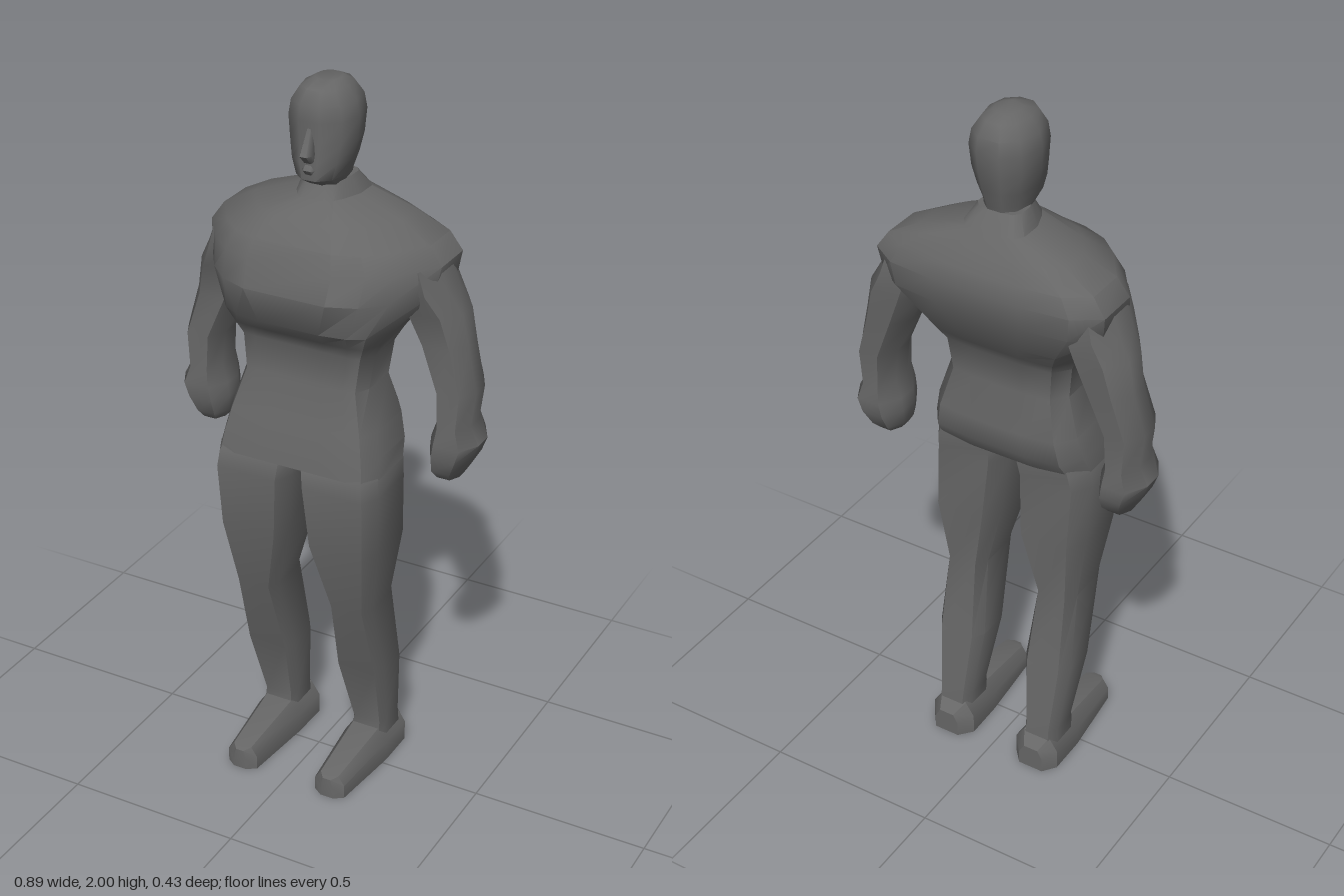
import * as THREE from 'three';
import { toCreasedNormals } from 'three/addons/utils/BufferGeometryUtils.js';

const darkGrey = new THREE.MeshStandardMaterial({ color: 0x666666 });

// Skin a stack of equal-length rings of [x, y, z] and cap both ends
function loft(name, rings, crease = 0.62) {
  const n = rings[0].length;
  const index = [];
  for (let i = 0; i < rings.length - 1; i++) {
    for (let j = 0; j < n; j++) {
      const k = (j + 1) % n;
      const a = i * n + j, b = i * n + k, c = (i + 1) * n + k, d = (i + 1) * n + j;
      index.push(a, b, c, a, c, d);
    }
  }
  const last = (rings.length - 1) * n;
  for (let j = 1; j < n - 1; j++) {
    index.push(0, j + 1, j);
    index.push(last, last + j, last + j + 1);
  }
  const geo = new THREE.BufferGeometry();
  geo.setAttribute('position', new THREE.Float32BufferAttribute(rings.flat(2), 3));
  geo.setIndex(index);
  const mesh = new THREE.Mesh(toCreasedNormals(geo, crease), darkGrey);
  mesh.name = name;
  return mesh;
}

// Half outlines as [fraction of half width, fraction from back to front]
const ARM = [[0.55, 1], [1, 0.68], [1, 0.35], [0.5, 0]];
const LEG = [[0.78, 1], [1, 0.8], [1, 0.22], [0.7, 0]];
const SKULL = [[0.32, 1], [0.82, 0.84], [1, 0.52], [0.82, 0.17], [0.35, 0]];
const CHEST = [[0.36, 1], [0.6, 0.92], [0.78, 0.78], [1, 0.5], [1, 0.17], [0.78, 0.04], [0.38, 0]];
const WAIST = [[0.36, 1], [0.7, 1], [0.89, 0.98], [1, 0.78], [1, 0.25], [0.82, 0.04], [0.38, 0]];

// Outline between chest (0) and waist (1)
const trunk = (k) => CHEST.map(([x, t], i) =>
  [x + (WAIST[i][0] - x) * k, t + (WAIST[i][1] - t) * k]);

// Horizontal ring filling the box x0..x1, zb..zf at height y
function ring([y, x0, x1, zb, zf], half) {
  const c = (x0 + x1) / 2, w = (x1 - x0) / 2;
  const at = (s) => ([fx, t]) => [c + s * fx * w, y, zb + t * (zf - zb)];
  return [...half.map(at(1)), ...half.map(at(-1)).reverse()];
}

const sided = (rows, s, half) => rows.map(([y, a, b, zb, zf]) =>
  ring(s > 0 ? [y, a, b, zb, zf] : [y, -b, -a, zb, zf], half));

// Rows: height, half width, back, front, waist share of the outline
const torso = [
  [0.99, 0.237, -0.09, 0.164, 1],
  [1.04, 0.229, -0.122, 0.155, 1],
  [1.11, 0.213, -0.128, 0.137, 1],
  [1.22, 0.18, -0.1, 0.105, 1],
  [1.315, 0.192, -0.11, 0.1, 1],
  [1.352, 0.212, -0.135, 0.122, 0.9],
  [1.395, 0.242, -0.16, 0.165, 0.55],
  [1.49, 0.325, -0.205, 0.188, 0],
  [1.56, 0.335, -0.213, 0.16, 0],
  [1.61, 0.3, -0.203, 0.14, 0],
  [1.655, 0.215, -0.175, 0.083, 0],
  [1.70, 0.088, -0.152, 0.035, 0],
  [1.745, 0.063, -0.116, 0.01, 0],
];
// Rows: height, half width, back, front
const head = [
  [1.73, 0.055, -0.113, 0.01],
  [1.757, 0.062, -0.119, 0.056],
  [1.80, 0.077, -0.13, 0.057],
  [1.85, 0.088, -0.14, 0.05],
  [1.91, 0.092, -0.148, 0.054],
  [1.95, 0.084, -0.143, 0.051],
  [1.985, 0.06, -0.121, 0.033],
  [2.0, 0.035, -0.09, -0.015],
];

// Rows: height, inner x, outer x, back, front
const arm = [
  [0.96, 0.325, 0.39, -0.115, -0.025],
  [0.985, 0.31, 0.405, -0.14, -0.005],
  [1.03, 0.306, 0.43, -0.16, 0.007],
  [1.07, 0.31, 0.445, -0.163, 0.01],
  [1.12, 0.326, 0.42, -0.155, 0.002],
  [1.22, 0.316, 0.432, -0.157, 0.0],
  [1.34, 0.262, 0.402, -0.165, -0.01],
  [1.43, 0.22, 0.386, -0.172, 0.005],
  [1.495, 0.2, 0.35, -0.175, 0.03],
  [1.56, 0.2, 0.325, -0.165, 0.03],
];
const leg = [
  [0.06, 0.09, 0.198, -0.145, -0.01],
  [0.12, 0.092, 0.195, -0.138, -0.02],
  [0.33, 0.07, 0.215, -0.11, 0.045],
  [0.56, 0.085, 0.205, -0.07, 0.112],
  [0.76, 0.032, 0.235, -0.095, 0.155],
  [0.94, 0.016, 0.242, -0.08, 0.17],
  [0.99, 0.01, 0.236, -0.088, 0.164],
  [1.06, 0.03, 0.2, -0.08, 0.12],
];

// Foot rows: z, inner x, outer x, top
const foot = [
  [-0.172, 0.105, 0.18, 0.07],
  [-0.135, 0.073, 0.208, 0.1],
  [-0.02, 0.075, 0.208, 0.1],
  [0.195, 0.094, 0.186, 0.067],
  [0.213, 0.12, 0.16, 0.06],
];
const footRings = (s) => foot.map(([z, a, b, top]) => {
  const c = s * (a + b) / 2, w = (b - a) / 2;
  return [[-w, 0], [w, 0], [w, top * 0.6], [w * 0.6, top], [-w * 0.6, top], [-w, top * 0.6]]
    .map(([x, y]) => [c + x, y, z]);
});

export function createModel() {
  const model = new THREE.Group();
  model.name = 'standingFigure';

  model.add(loft('torso', torso.map(([y, w, zb, zf, k]) => ring([y, -w, w, zb, zf], trunk(k)))));
  model.add(loft('head', head.map(([y, w, zb, zf]) => ring([y, -w, w, zb, zf], SKULL)), 0.8));

  // Nose: narrow bridge widening to the tip; lips: a small ridge
  model.add(loft('nose', [
    ring([1.805, -0.015, 0.015, 0.03, 0.062], ARM),
    ring([1.828, -0.017, 0.017, 0.03, 0.084], ARM),
    ring([1.895, -0.007, 0.007, 0.03, 0.052], ARM),
  ], 1.1));
  model.add(loft('lips', [
    ring([1.772, -0.015, 0.015, 0.03, 0.056], ARM),
    ring([1.785, -0.02, 0.02, 0.03, 0.065], ARM),
    ring([1.8, -0.014, 0.014, 0.03, 0.056], ARM),
  ], 1.1));

  for (const [side, s] of [['left', 1], ['right', -1]]) {
    model.add(loft(side + 'Arm', sided(arm, s, ARM), 0.75));
    model.add(loft(side + 'Leg', sided(leg, s, LEG)));
    model.add(loft(side + 'Foot', footRings(s)));
  }
  return model;
}
